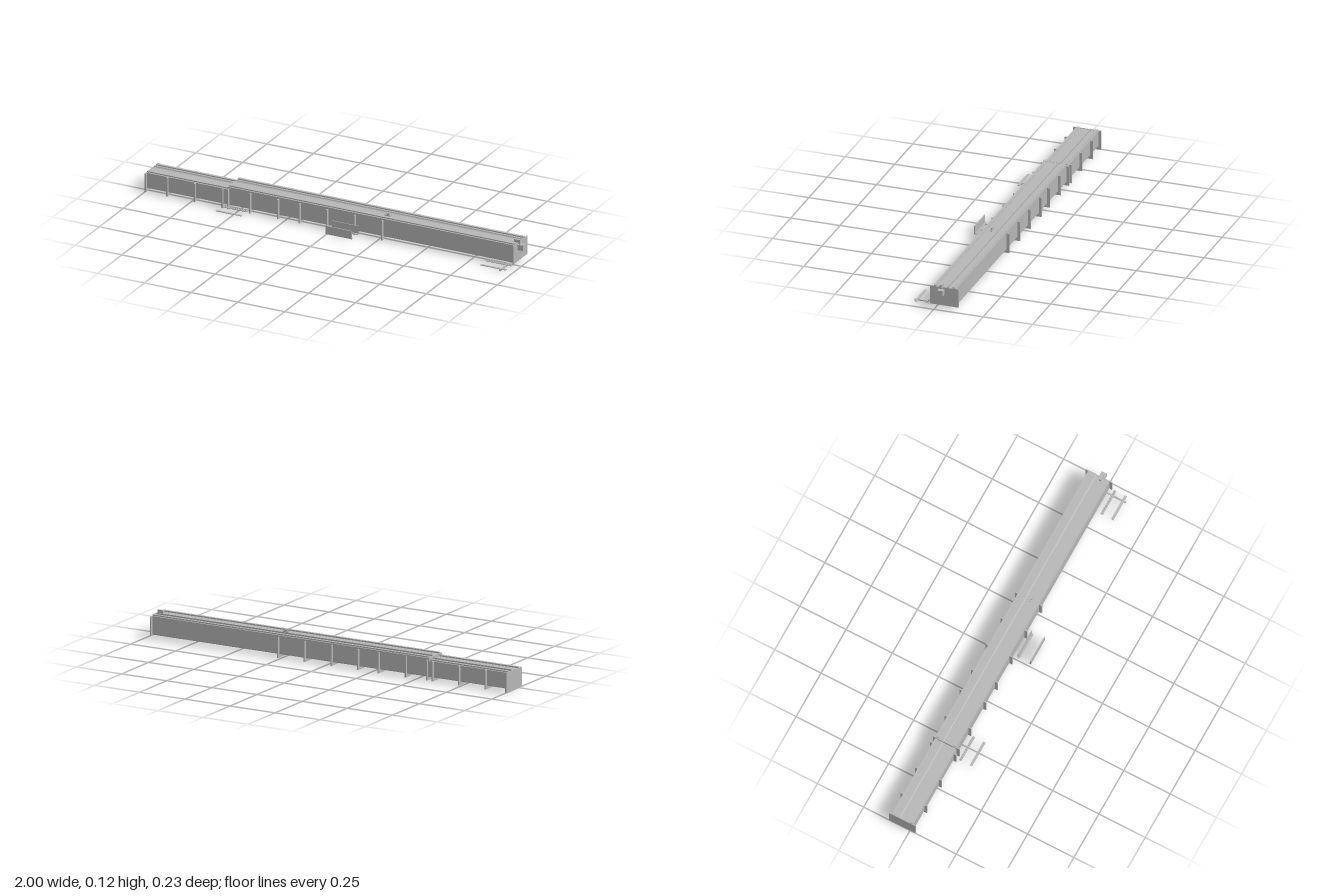
import * as THREE from 'three';

export function createModel() {
  const model = new THREE.Group();
  const steel = new THREE.MeshStandardMaterial({ color: 0xb6b6b6 });
  steel.name = 'steelGrey';
  const MID = -0.0425; // z of the beam centre line

  // Box given by its limits on each axis
  function block(name, x0, x1, y0, y1, z0, z1, parent = model) {
    const mesh = new THREE.Mesh(new THREE.BoxGeometry(x1 - x0, y1 - y0, z1 - z0), steel);
    mesh.position.set((x0 + x1) / 2, (y0 + y1) / 2, (z0 + z1) / 2);
    mesh.name = name;
    parent.add(mesh);
    return mesh;
  }

  // Cross-section in (z, y) swept along x
  function sweep(name, points, x0, x1, hole) {
    const toShape = p => p.map(([z, y]) => new THREE.Vector2(-z, y));
    const shape = new THREE.Shape(toShape(points));
    if (hole) shape.holes.push(new THREE.Path(toShape(hole)));
    const geo = new THREE.ExtrudeGeometry(shape, { depth: x1 - x0, bevelEnabled: false });
    geo.rotateY(Math.PI / 2);
    const mesh = new THREE.Mesh(geo, steel);
    mesh.position.x = x0;
    mesh.name = name;
    model.add(mesh);
  }

  // Box beam with two T rails and a ridge on top
  function beam(name, x0, x1, top) {
    const b = 0.016, w = 0.058, c = 0.004;
    sweep(name, [
      [MID - w, b + c], [MID - w + c, b], [MID + w - c, b], [MID + w, b + c],
      [MID + w, top], [MID - w, top],
    ], x0, x1);
    for (const side of [-1, 1]) {
      const z = MID + side * 0.0465;
      block(name + 'RailStem', x0, x1, top, top + 0.003, z - 0.004, z + 0.004);
      block(name + 'RailCap', x0, x1, top + 0.003, top + 0.007, z - 0.007, z + 0.007);
    }
    // Bent guide ridge
    sweep(name + 'Ridge', [
      [-0.054, top], [-0.058, top + 0.003], [-0.06, top + 0.008],
      [-0.063, top + 0.008], [-0.062, top],
    ], x0, x1);
  }
  beam('lowBeam', -0.997, -0.56, 0.095);
  beam('mainBeam', -0.56, 0.97, 0.108);

  // U-shaped stiffening ribs wrapped around the sides and underside
  function rib(x, top) {
    const o = 0.0715, i = 0.057;
    sweep('rib', [
      [MID - o, 0], [MID + o, 0], [MID + o, top], [MID + i, top],
      [MID + i, 0.017], [MID - i, 0.017], [MID - i, top], [MID - o, top],
    ], x - 0.003, x + 0.003);
  }
  for (const x of [-0.997, -0.882, -0.735, -0.588]) rib(x, 0.095);
  for (const x of [-0.557, -0.44, -0.29, -0.175, -0.028, 0.12, 0.267]) rib(x, 0.1);

  // Closing plates
  block('rightEndPlate', -1, -0.996, 0.001, 0.097, MID - 0.071, MID + 0.071);
  block('leftEndPlate', 0.967, 0.972, 0.015, 0.109, MID - 0.0725, MID + 0.0715);
  block('stepPlate', -0.564, -0.558, 0.016, 0.109, MID - 0.06, MID + 0.06);

  // End bracket with a lug above it
  block('endBracket', 0.972, 1, 0.073, 0.101, -0.044, -0.015);
  block('endLug', 0.95, 0.98, 0.1, 0.123, -0.033, -0.022);

  // Wedge-shaped stop on the top
  block('stopBase', 0.255, 0.288, 0.108, 0.113, -0.033, -0.022);
  block('stopPost', 0.265, 0.28, 0.112, 0.121, -0.031, -0.024);

  // Flat toothed foot strips at both ends
  for (const x0 of [-0.58, 0.835]) {
    const strips = new THREE.Group();
    strips.name = 'footStrips';
    model.add(strips);
    for (const z of [0.045, 0.102]) {
      block('footStrip', x0, x0 + 0.137, 0.014, 0.017, z - 0.007, z + 0.006, strips);
    }
    for (let k = 0; k < 10; k++) {
      const x = x0 + 0.004 + k * 0.0135;
      block('tooth', x, x + 0.005, 0.017, 0.021, 0.038, 0.047, strips);
    }
  }

  // Pair of upright plates at the middle
  for (const z of [0.038, 0.107]) {
    block('uprightPlate', 0.008, 0.148, 0.014, 0.055, z - 0.002, z + 0.002);
    const s = z > 0.07 ? -1 : 1;
    block('uprightFoot', 0.008, 0.148, 0.012, 0.016, Math.min(z, z + s * 0.01), Math.max(z, z + s * 0.01));
  }

  // Cross bar under the left end strips
  block('crossBar', 0.94, 0.948, 0.009, 0.014, 0.0, 0.117);

  return model;
}
